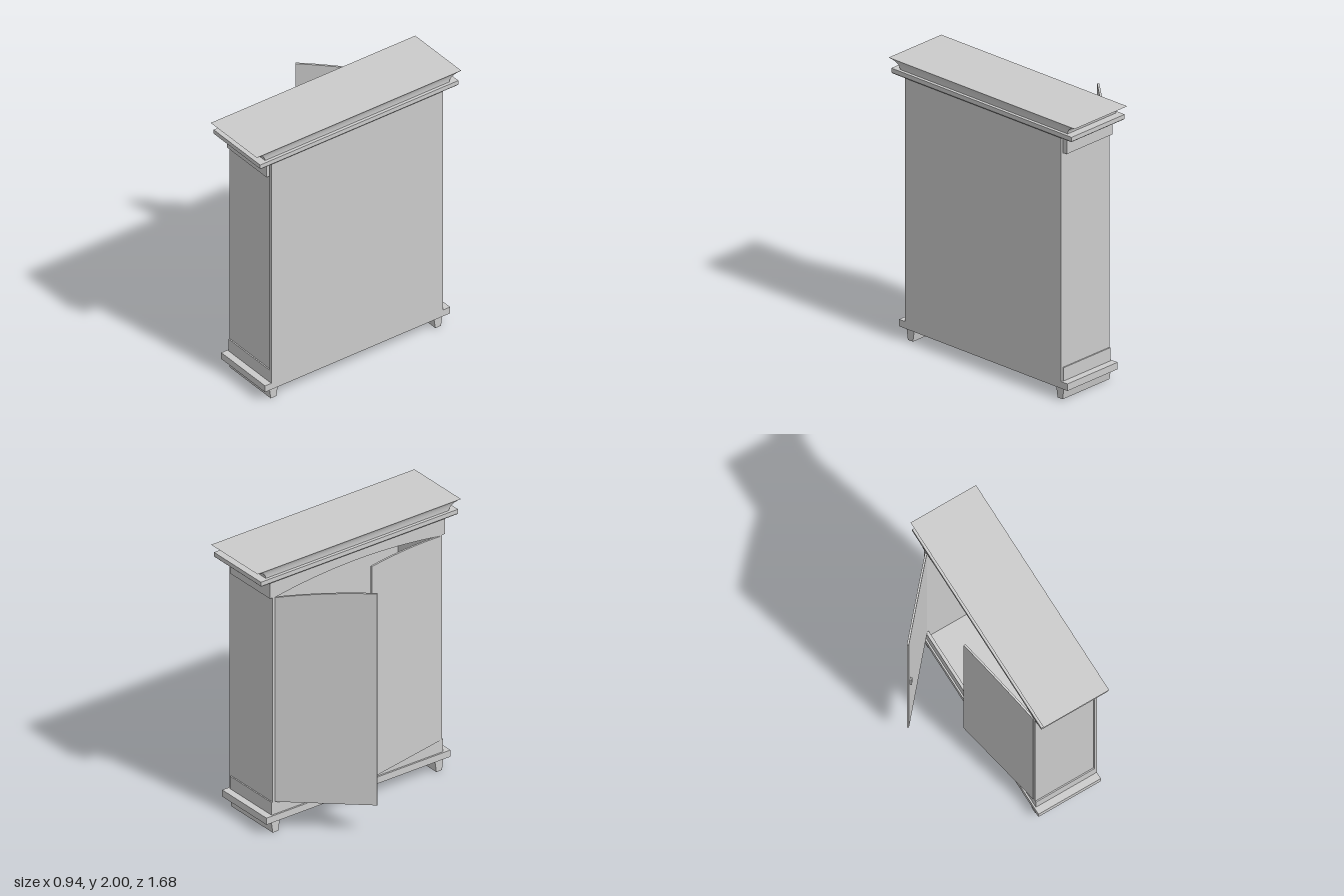
import * as THREE from 'three';

const mat = new THREE.MeshStandardMaterial({ color: 0xcccccc, flatShading: true });
const CX = 0.21; // middle of the cabinet's depth

function add(parent, geometry, name) {
  const mesh = new THREE.Mesh(geometry, mat);
  mesh.name = name;
  parent.add(mesh);
  return mesh;
}

// Box given by its limits on each axis
function box(parent, name, x0, x1, y0, y1, z0, z1) {
  const mesh = add(parent, new THREE.BoxGeometry(x1 - x0, y1 - y0, z1 - z0), name);
  mesh.position.set((x0 + x1) / 2, (y0 + y1) / 2, (z0 + z1) / 2);
  return mesh;
}

// Closed solid through stacked rectangles [halfX, halfZ, y], bottom to top
function loft(rings) {
  const pos = [];
  const corners = rings.map(([a, b, y]) => [[a, y, b], [a, y, -b], [-a, y, -b], [-a, y, b]]);
  const quad = (a, b, c, d) => pos.push(...a, ...b, ...c, ...a, ...c, ...d);
  for (let i = 0; i < corners.length - 1; i++) {
    for (let k = 0; k < 4; k++) {
      const n = (k + 1) % 4;
      quad(corners[i][k], corners[i][n], corners[i + 1][n], corners[i + 1][k]);
    }
  }
  const [p, q, r, s] = corners[0];
  quad(s, r, q, p);
  quad(...corners[corners.length - 1]);
  const g = new THREE.BufferGeometry();
  g.setAttribute('position', new THREE.Float32BufferAttribute(pos, 3));
  g.computeVertexNormals();
  return g;
}

// Height of the arched door opening at distance d from the middle
const HALF = 0.675;
const archY = (d) => 1.765 + 0.055 * (1 - (d / HALF) ** 2);

// Door leaf: hinge at local origin, running along its local +x
function door(name, side, direction) {
  const group = new THREE.Group();
  group.name = name;
  const shape = new THREE.Shape();
  shape.moveTo(0, 0.23);
  shape.lineTo(HALF, 0.23);
  for (let i = 0; i <= 10; i++) {
    const u = HALF * (1 - i / 10);
    shape.lineTo(u, archY(HALF - u));
  }
  const leaf = new THREE.ExtrudeGeometry(shape, { depth: 0.014, bevelEnabled: false });
  leaf.translate(0, 0, -0.007);
  add(group, leaf, 'doorLeaf');
  // outer face is local -z for the door hinged at -z, local +z for the other
  const handle = add(group, new THREE.BoxGeometry(0.02, 0.09, 0.012), 'handle');
  handle.position.set(HALF - 0.05, 0.995, side * 0.013);
  group.position.set(-0.02, 0, side * 0.68);
  group.rotation.y = Math.atan2(-direction[1], direction[0]);
  return group;
}

export function createModel() {
  const model = new THREE.Group();
  model.name = 'wardrobe';

  // Carcass
  box(model, 'backPanel', 0.428, 0.447, 0.085, 1.9, -0.7, 0.708);
  box(model, 'floor', -0.034, 0.428, 0.085, 0.135, -0.76, 0.76);
  box(model, 'frontRail', -0.022, 0, 0.135, 0.23, -0.709, 0.709);

  for (const s of [-1, 1]) {
    const side = (name, x0, x1, y0, y1, zIn, zOut) =>
      box(model, name, x0, x1, y0, y1, Math.min(s * zIn, s * zOut), Math.max(s * zIn, s * zOut));
    side('sidePanel', -0.022, 0.428, 0.135, 1.77, 0.68, 0.7);
    side('sidePlinth', -0.022, 0.428, 0.135, 0.23, 0.69, 0.709);
    side('baseMouldingEnd', 0.428, 0.447, 0.085, 0.135, 0.7, 0.76);
    side('sideFrieze', -0.022, 0.413, 1.768, 1.9, 0.69, 0.723);

    // Tapered foot runner along the depth
    const foot = new THREE.Shape([[-0.035, 0.085], [-0.023, 0], [0.023, 0], [0.035, 0.085]]
      .map(([a, b]) => new THREE.Vector2(a, b)));
    const runner = add(model, new THREE.ExtrudeGeometry(foot, { depth: 0.45, bevelEnabled: false }), 'foot');
    runner.rotation.y = Math.PI / 2;
    runner.position.set(-0.022, 0, s * 0.676);
  }

  // Front frieze with arched lower edge
  const frieze = new THREE.Shape();
  frieze.moveTo(-0.723, 1.9);
  frieze.lineTo(-0.723, 1.768);
  for (let i = 0; i <= 20; i++) {
    const u = HALF * (i / 10 - 1);
    frieze.lineTo(u, archY(u));
  }
  frieze.lineTo(0.723, 1.768);
  frieze.lineTo(0.723, 1.9);
  const front = add(model, new THREE.ExtrudeGeometry(frieze, { depth: 0.022, bevelEnabled: false }), 'frontFrieze');
  front.rotation.y = -Math.PI / 2;
  front.position.x = 0;

  // Cornice: flat slab with eased lower edge, then a flared cove
  const slab = loft([[0.25, 0.807, 1.895], [0.255, 0.814, 1.902], [0.255, 0.814, 1.933]]);
  add(model, slab, 'corniceSlab').position.x = CX;
  const cove = [];
  for (let i = 0; i <= 6; i++) {
    const a = (i / 6) * Math.PI * 0.4;
    const t = (1 - Math.cos(a)) / (1 - Math.cos(Math.PI * 0.4));
    const h = Math.sin(a) / Math.sin(Math.PI * 0.4);
    cove.push([0.232 + 0.02 * t, 0.757 + 0.083 * t, 1.933 + 0.067 * h]);
  }
  add(model, loft(cove), 'corniceCove').position.x = CX;

  // Doors standing ajar
  model.add(door('rightDoor', -1, [-0.44, 0.495]));
  model.add(door('leftDoor', 1, [-0.13, -0.66]));
  return model;
}
